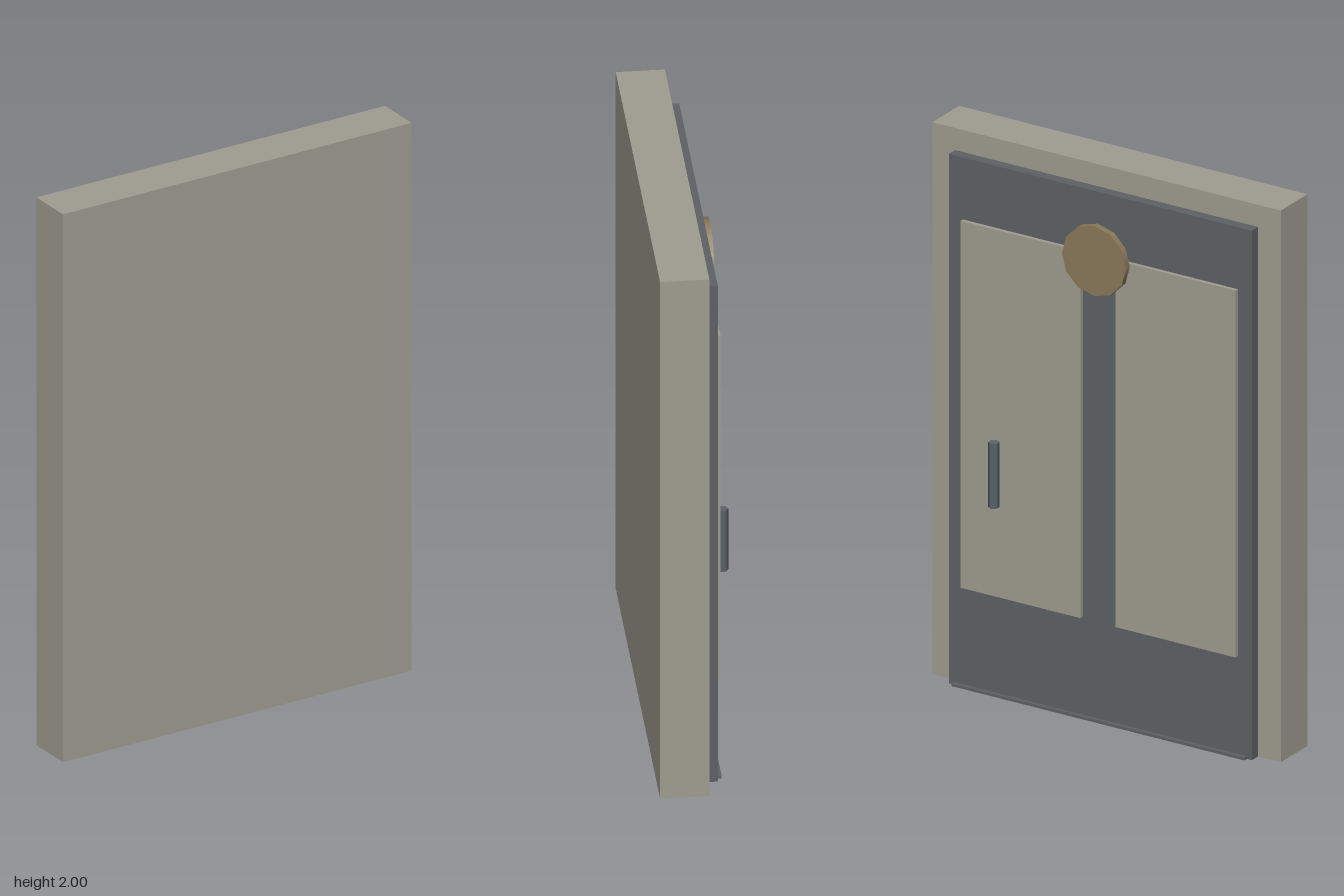
import * as THREE from 'three';

const paint = (name, color) => {
  const m = new THREE.MeshStandardMaterial({ color });
  m.name = name;
  return m;
};

export function createModel() {
  const group = new THREE.Group();
  group.name = 'door';
  const stone = paint('warm grey', 0xa09c90);
  const slate = paint('dark slate', 0x5e6265);
  const iron = paint('iron grey', 0x5c646c);
  const bronze = paint('bronze', 0x8a795a);

  const add = (name, geometry, material, x, y, z) => {
    const mesh = new THREE.Mesh(geometry, material);
    mesh.name = name;
    mesh.position.set(x, y, z);
    group.add(mesh);
    return mesh;
  };
  // Box given by its lower and upper limits on each axis
  const box = (name, material, [x0, x1], [y0, y1], [z0, z1]) =>
    add(name, new THREE.BoxGeometry(x1 - x0, y1 - y0, z1 - z0), material,
      (x0 + x1) / 2, (y0 + y1) / 2, (z0 + z1) / 2);

  // Solid surround and the door leaf on its back
  box('surround', stone, [-0.69, 0.69], [0, 2], [-0.035, 0.13]);
  box('doorLeaf', slate, [-0.6, 0.6], [0, 1.92], [-0.073, -0.035]);

  // Low threshold strip
  box('threshold', slate, [-0.58, 0.58], [0, 0.01], [-0.088, -0.073]);

  // Pair of raised panels
  box('leftPanel', stone, [0.07, 0.545], [0.365, 1.695], [-0.088, -0.073]);
  box('rightPanel', stone, [-0.545, -0.07], [0.365, 1.695], [-0.088, -0.073]);

  // Round plaque above the panels
  add('plaque', new THREE.CylinderGeometry(0.127, 0.127, 0.023, 12), bronze, 0, 1.685, -0.101)
    .rotation.x = Math.PI / 2;

  // Upright pull handle
  add('handle', new THREE.CylinderGeometry(0.019, 0.019, 0.235, 6), iron, 0.398, 0.818, -0.111);

  return group;
}
